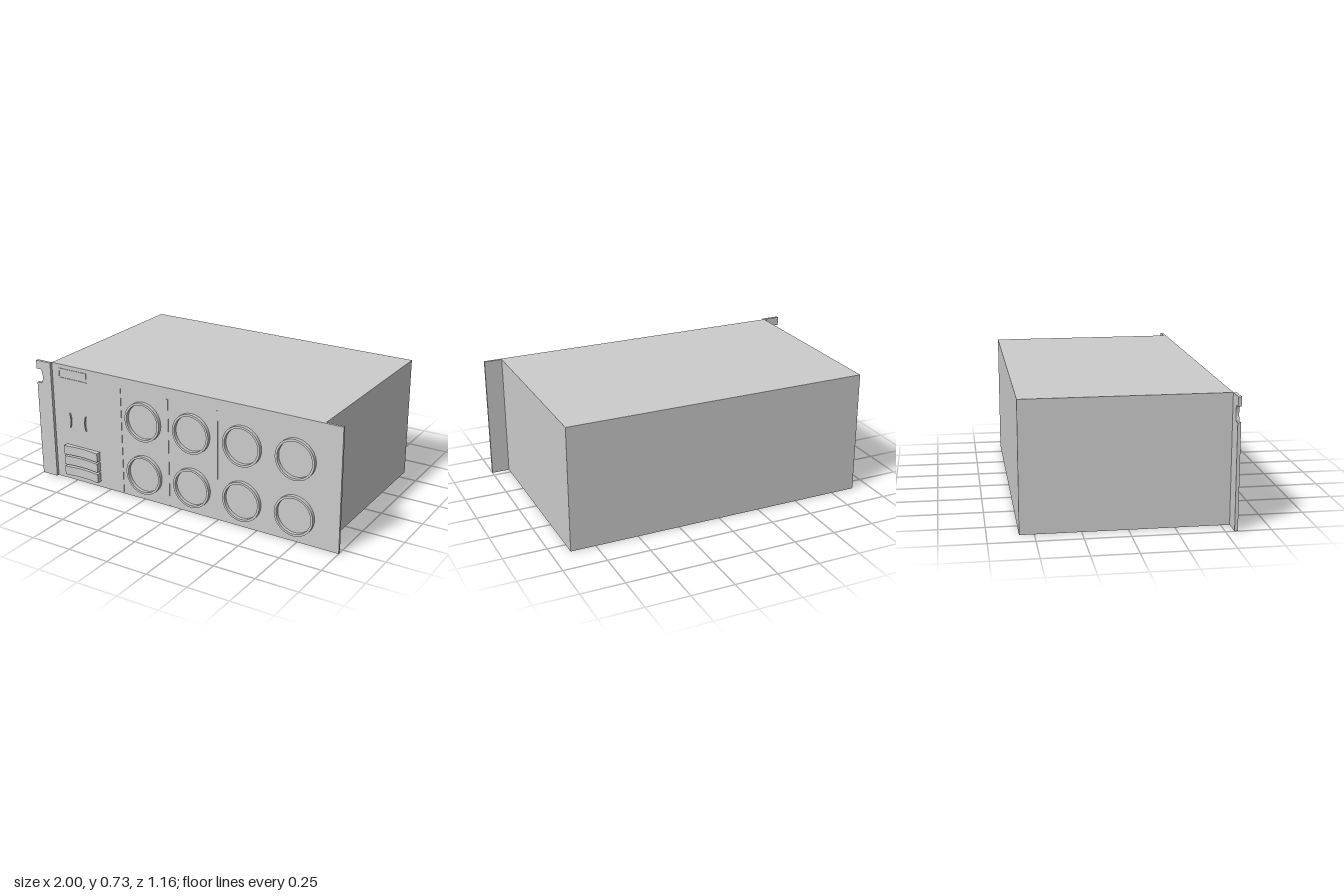
import * as THREE from 'three';

export function createModel() {
  const model = new THREE.Group();
  const material = new THREE.MeshStandardMaterial({ color: 0xcccccc });
  const FACE = 0.55; // front surface of the panel

  const add = (name, geometry) => {
    const mesh = new THREE.Mesh(geometry, material);
    mesh.name = name;
    model.add(mesh);
    return mesh;
  };
  // Box given by its limits on each axis
  const box = (name, x0, x1, y0, y1, z0, z1) =>
    add(name, new THREE.BoxGeometry(x1 - x0, y1 - y0, z1 - z0))
      .position.set((x0 + x1) / 2, (y0 + y1) / 2, (z0 + z1) / 2);
  const extrude = (shape, depth) =>
    new THREE.ExtrudeGeometry(shape, { depth, bevelEnabled: false, curveSegments: 32 });

  // Chassis and front panel, whose left end forms the plain mounting ear
  box('chassis', -0.895, 0.895, 0, 0.727, -0.58, 0.54);
  box('frontPanel', -0.895, 1, 0, 0.727, 0.535, FACE);

  // Right mounting ear, with an open notch for the rack screw
  const ear = new THREE.Shape();
  ear.moveTo(-1, 0);
  ear.lineTo(-0.895, 0);
  ear.lineTo(-0.895, 0.727);
  ear.lineTo(-1, 0.727);
  ear.lineTo(-1, 0.675);
  ear.lineTo(-0.967, 0.675);
  ear.quadraticCurveTo(-0.945, 0.632, -0.967, 0.59);
  ear.lineTo(-1, 0.59);
  ear.closePath();
  add('notchedEar', extrude(ear, 0.018)).position.z = 0.549;

  // Two rows of four raised connector rings
  const ring = new THREE.Shape().absarc(0, 0, 0.118, 0, Math.PI * 2);
  ring.holes.push(new THREE.Path().absarc(0, 0, 0.105, 0, Math.PI * 2, true));
  const ringGeometry = extrude(ring, 0.021);
  for (const y of [0.16, 0.49]) {
    for (const x of [-0.245, 0.081, 0.407, 0.734]) {
      add('connectorRing', ringGeometry).position.set(x, y, FACE);
    }
  }

  // Slim strips between the panel sections
  for (const x of [-0.405, -0.08, 0.245]) {
    box('dividerStrip', x - 0.005, x + 0.005, 0.005, 0.66, FACE - 0.002, FACE + 0.003);
  }

  // Three buttons with hollowed fronts, drawn in plan and extruded upward
  const button = new THREE.Shape();
  button.moveTo(-0.122, 0);
  button.lineTo(0.122, 0);
  button.lineTo(0.122, 0.031);
  button.lineTo(0.1, 0.031);
  button.quadraticCurveTo(0, 0.012, -0.1, 0.031);
  button.lineTo(-0.122, 0.031);
  button.closePath();
  const buttonGeometry = extrude(button, 0.055).rotateX(Math.PI / 2);
  for (const top of [0.092, 0.16, 0.226]) {
    add('button', buttonGeometry).position.set(-0.692, top, FACE);
  }

  // Display slot framed by thin lips
  box('slotTopLip', -0.845, -0.645, 0.692, 0.703, FACE - 0.002, FACE + 0.004);
  box('slotBottomLip', -0.845, -0.645, 0.643, 0.647, FACE - 0.002, FACE + 0.004);
  for (const x of [-0.845, -0.648]) {
    box('slotSideLip', x, x + 0.003, 0.645, 0.695, FACE - 0.002, FACE + 0.003);
  }

  // Pair of curved finger grips, bowed toward each other
  for (const side of [-1, 1]) {
    const grip = new THREE.Shape();
    grip.moveTo(side * 0.057, -0.045);
    grip.quadraticCurveTo(side * 0.04, 0, side * 0.057, 0.045);
    grip.lineTo(side * 0.061, 0.045);
    grip.quadraticCurveTo(side * 0.046, 0, side * 0.061, -0.045);
    grip.closePath();
    add('fingerGrip', extrude(grip, 0.01)).position.set(-0.718, 0.386, FACE);
  }

  return model;
}
